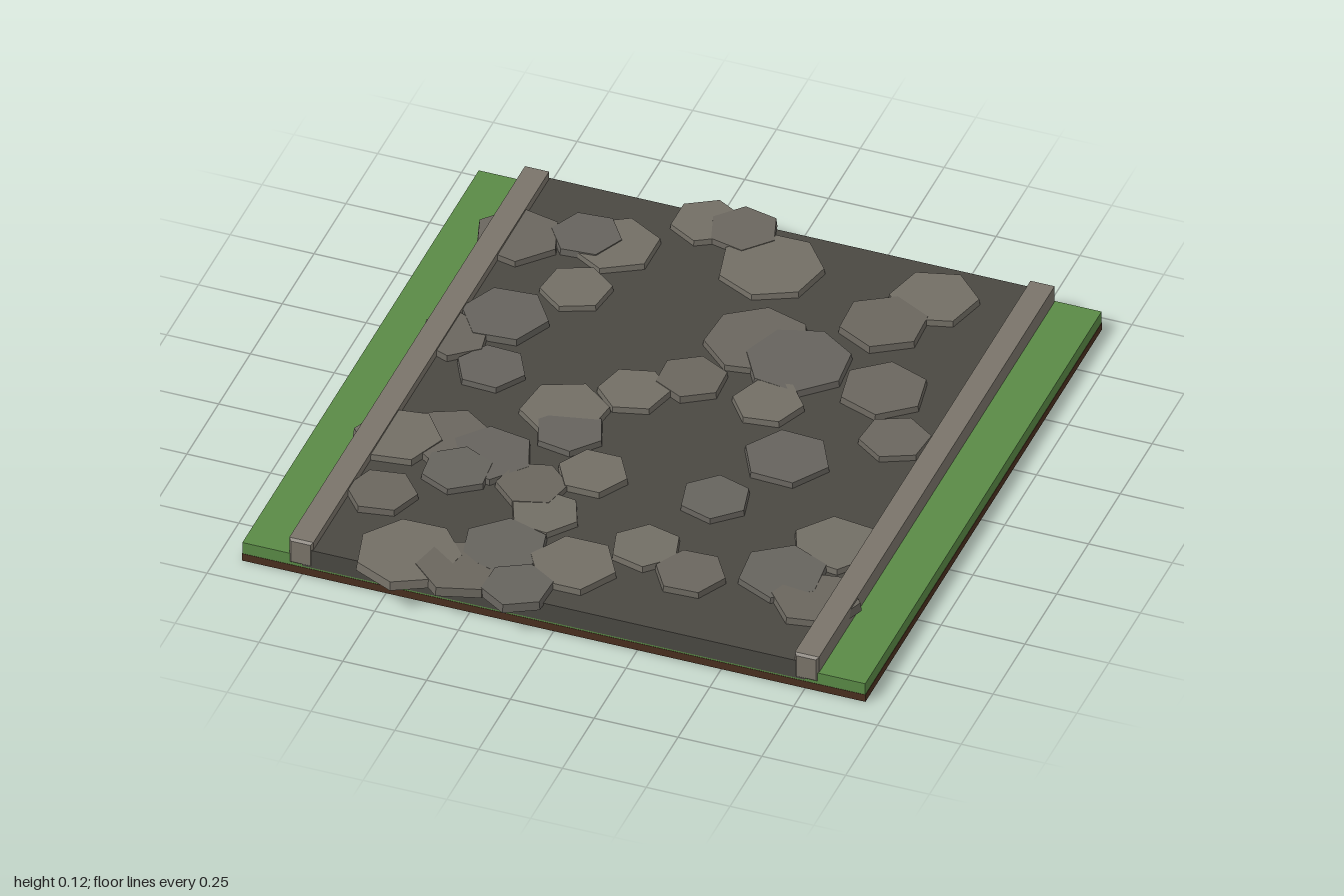
import * as THREE from 'three';

const mat = (color) => new THREE.MeshStandardMaterial({ color, flatShading: true });
const Z = -0.02; // middle of the slab; loose stones overhang its ends
const LENGTH = 1.86;

function add(group, name, geometry, material, x, y, z) {
  const mesh = new THREE.Mesh(geometry, material);
  mesh.name = name;
  mesh.position.set(x, y, z);
  group.add(mesh);
  return mesh;
}

// Long bar with chamfered edges, lying along z
function chamferedBar(w, h, l, c) {
  const x = w / 2 - c, y = h / 2 - c;
  const shape = new THREE.Shape([
    new THREE.Vector2(-x, -y), new THREE.Vector2(x, -y),
    new THREE.Vector2(x, y), new THREE.Vector2(-x, y),
  ]);
  const geo = new THREE.ExtrudeGeometry(shape, {
    depth: l - 2 * c, bevelEnabled: true, bevelSize: c, bevelThickness: c, bevelSegments: 1,
  });
  return geo.translate(0, 0, -l / 2 + c);
}

// Paving stones in three sizes, each placed at [x, z]
const STONE_SIZES = [
  { radius: 0.155, sides: 7, spots: [
    [0.01, -0.77], [0.10, -0.43], [0.24, -0.38], [-0.46, 0.84],
  ] },
  { radius: 0.13, sides: 6, spots: [
    [-0.43, -0.71], [-0.70, -0.65], [-0.60, -0.29], [-0.29, 0.06], [0.51, -0.34],
    [0.37, 0.05], [0.49, -0.79], [0.40, -0.63], [-0.41, 0.33], [-0.68, 0.34],
    [-0.55, 0.29], [-0.22, 0.72], [-0.01, 0.73], [-0.30, 0.85], [0.55, 0.56],
    [0.64, 0.38], [0.68, 0.64],
  ] },
  { radius: 0.105, sides: 6, spots: [
    [-0.23, -0.90], [-0.12, -0.90], [-0.52, -0.72], [-0.46, -0.48], [-0.70, -0.15],
    [-0.55, -0.05], [-0.14, -0.09], [-0.01, -0.20], [-0.24, 0.15], [0.23, -0.17],
    [0.62, -0.14], [0.25, 0.30], [-0.11, 0.31], [-0.25, 0.42], [-0.47, 0.43],
    [-0.17, 0.53], [-0.63, 0.60], [-0.12, 0.88], [0.15, 0.58], [0.31, 0.65],
  ] },
];

export function createModel() {
  const model = new THREE.Group();
  model.name = 'roadTile';

  // Ground layers
  add(model, 'soil', new THREE.BoxGeometry(1.86, 0.024, LENGTH), mat(0x4a2f1f), 0, 0.012, Z);
  add(model, 'grass', new THREE.BoxGeometry(1.858, 0.038, LENGTH - 0.002), mat(0x5a8a46), 0, 0.043, Z);
  add(model, 'roadBed', new THREE.BoxGeometry(1.5, 0.06, LENGTH + 0.002), mat(0x4a4842), 0, 0.06, Z);

  // Kerbs on both sides
  const kerbGeo = chamferedBar(0.072, 0.085, LENGTH + 0.006, 0.007);
  const kerbMat = mat(0x7a746a);
  for (const s of [-1, 1]) {
    add(model, s > 0 ? 'leftKerb' : 'rightKerb', kerbGeo, kerbMat, s * 0.754, 0.073, Z);
  }

  // Flat, slightly tapered stones, each turned, tilted and raised a little differently
  const paving = new THREE.Group();
  paving.name = 'pavingStones';
  const tones = [0x726e65, 0x6a665e, 0x66635d].map(mat);
  for (const { radius, sides, spots } of STONE_SIZES) {
    const geo = new THREE.CylinderGeometry(radius * 0.97, radius, 0.027, sides);
    spots.forEach(([x, z], i) => {
      const y = 0.0935 + ((i * 7) % 5) * 0.0008;
      const stone = add(paving, 'pavingStone', geo, tones[i % 3], x, y, z);
      stone.rotation.set(0.012 * Math.sin(i * 2.3), i * 2.4, 0.012 * Math.cos(i * 1.7));
    });
  }
  model.add(paving);
  return model;
}
